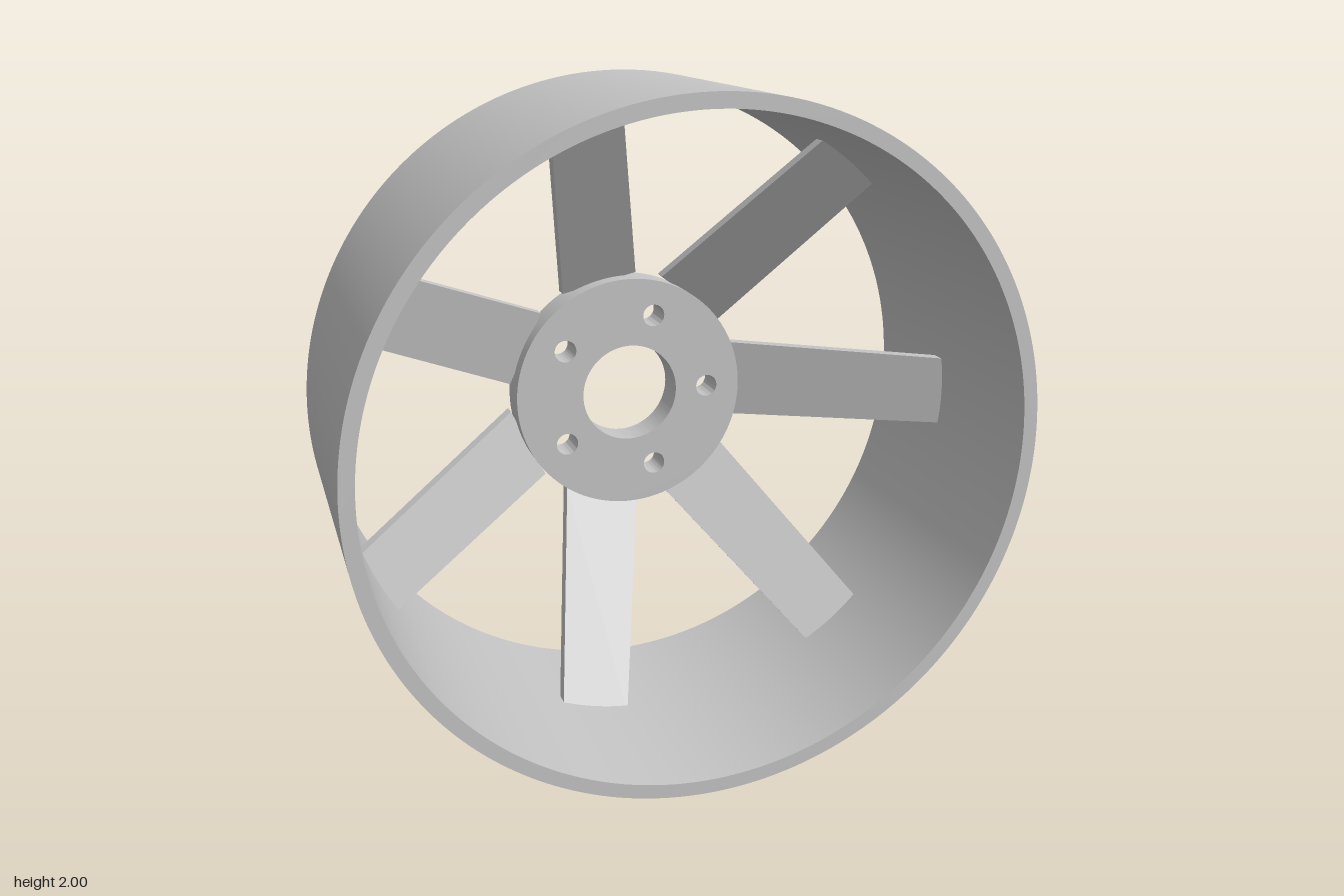
import * as THREE from 'three';
import { toCreasedNormals } from 'three/addons/utils/BufferGeometryUtils.js';

const HALF_DEPTH = 0.443;
const BLADES = 7;
const BOLTS = 5;

// A circular outline pierced by round holes, extruded from z0 to z1
function disc(radius, holes, z0, z1, segments) {
  const shape = new THREE.Shape().absarc(0, 0, radius, 0, Math.PI * 2);
  for (const [x, y, r] of holes) {
    shape.holes.push(new THREE.Path().absarc(x, y, r, 0, Math.PI * 2, true));
  }
  const geometry = new THREE.ExtrudeGeometry(shape, {
    depth: z1 - z0, bevelEnabled: false, curveSegments: segments,
  });
  geometry.translate(0, 0, z0);
  return toCreasedNormals(geometry, 0.6);
}

// Tapered slab running outward along +x and sloping forward from hub to rim
function bladeGeometry() {
  const geometry = new THREE.BoxGeometry(1, 1, 1);
  const p = geometry.attributes.position;
  for (let i = 0; i < p.count; i++) {
    const t = p.getX(i) + 0.5;
    p.setXYZ(
      i,
      THREE.MathUtils.lerp(0.36, 0.97, t),
      p.getY(i) * THREE.MathUtils.lerp(0.245, 0.214, t),
      THREE.MathUtils.lerp(-0.418, -0.05, t) + p.getZ(i) * 0.045,
    );
  }
  geometry.computeVertexNormals();
  return geometry;
}

export function createModel() {
  const model = new THREE.Group();
  model.name = 'spokedWheel';
  const metal = new THREE.MeshStandardMaterial({ color: 0xc4c4c4 });
  metal.name = 'lightGrey';

  const wheel = new THREE.Group();
  wheel.name = 'wheel';
  wheel.position.y = 1;
  model.add(wheel);

  const add = (name, geometry) => {
    const mesh = new THREE.Mesh(geometry, metal);
    mesh.name = name;
    wheel.add(mesh);
    return mesh;
  };

  // Wide thin rim
  add('rim', disc(1, [[0, 0, 0.957]], -HALF_DEPTH, HALF_DEPTH, 128));

  // Hub plate at the back, with a centre bore and a ring of bolt holes
  const holes = [[0, 0, 0.155]];
  for (let i = 0; i < BOLTS; i++) {
    const a = (i / BOLTS) * Math.PI * 2;
    holes.push([0.26 * Math.cos(a), 0.26 * Math.sin(a), 0.035]);
  }
  add('hub', disc(0.37, holes, -HALF_DEPTH, -0.335, 64));

  // Spokes
  const blade = bladeGeometry();
  for (let i = 0; i < BLADES; i++) {
    add('spoke' + (i + 1), blade).rotation.z = (i / BLADES) * Math.PI * 2;
  }
  return model;
}
